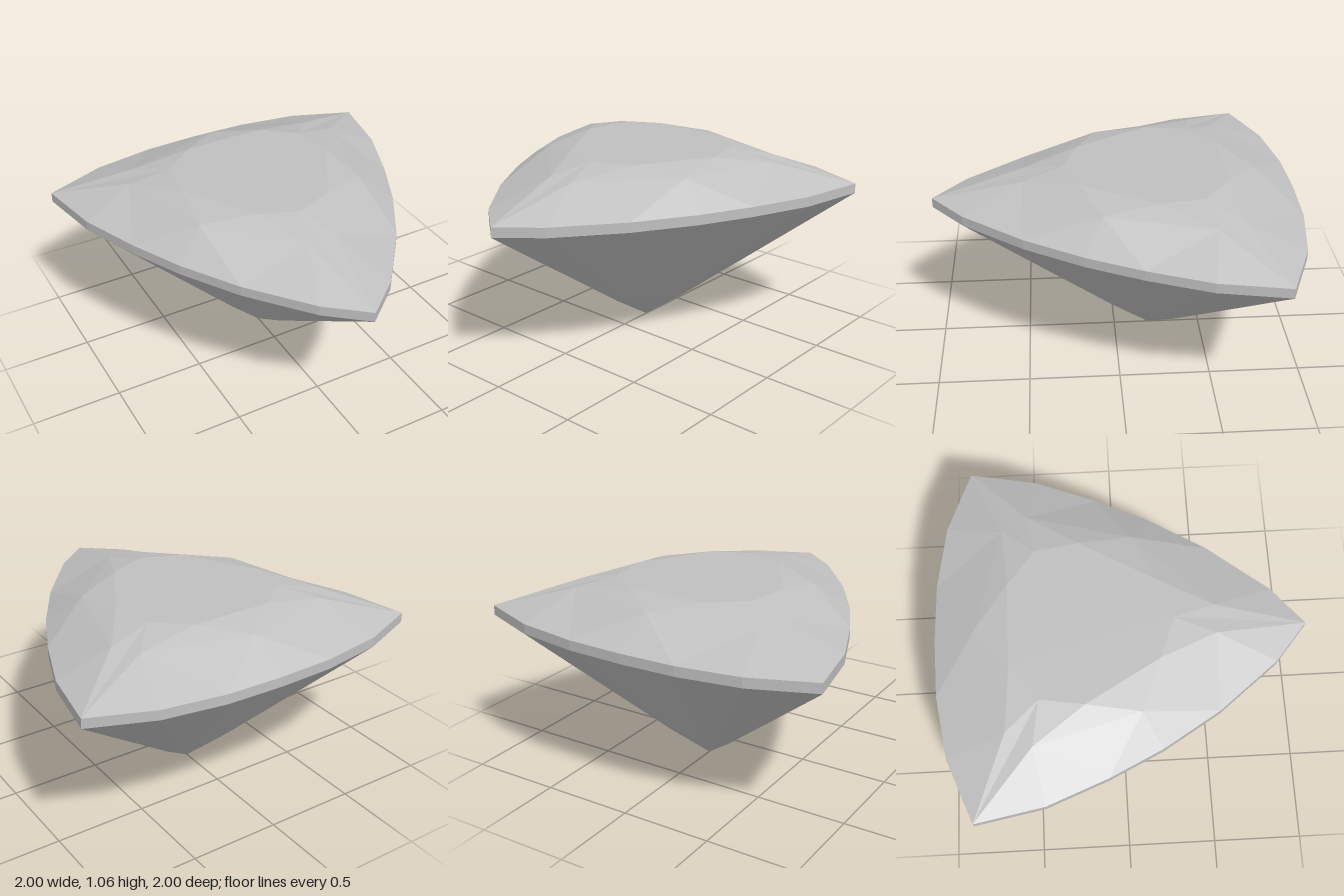
import * as THREE from 'three';

const CENTRE_Z = -0.2;
const GIRDLE_LOW = 0.83, GIRDLE_HIGH = 0.885, TABLE_Y = 1.062;

// Point at a radius and angle (degrees from the front, towards +x) about the gem axis
function polar(r, degrees, y) {
  const a = THREE.MathUtils.degToRad(degrees);
  return [r * Math.sin(a), y, CENTRE_Z + r * Math.cos(a)];
}

// Flat-faced mesh from counter-clockwise polygons
function facetMesh(name, polygons, material) {
  const positions = [];
  for (const p of polygons) {
    for (let i = 1; i < p.length - 1; i++) positions.push(...p[0], ...p[i], ...p[i + 1]);
  }
  const geometry = new THREE.BufferGeometry();
  geometry.setAttribute('position', new THREE.Float32BufferAttribute(positions, 3));
  geometry.computeVertexNormals();
  const mesh = new THREE.Mesh(geometry, material);
  mesh.name = name;
  return mesh;
}

export function createModel() {
  const gem = new THREE.Group();
  gem.name = 'trillionGem';
  const stone = new THREE.MeshStandardMaterial({ color: 0xc0c0c0 });
  stone.name = 'pale grey stone';

  // Rounded triangular outline (x, z): one half, then its mirror
  const half = [[0, 1], [0.21, 0.825], [0.47, 0.5], [0.66, 0.19], [0.8, -0.1],
    [0.93, -0.43], [1, -0.8], [0.66, -0.935], [0.315, -0.99], [0, -1]];
  const outline = [...half, ...half.slice(1, -1).reverse().map(([x, z]) => [-x, z])];
  const n = outline.length;
  const at = (i, y) => {
    const [x, z] = outline[i % n];
    return [x, y, z];
  };

  // Crown: the same facets repeated on three sides
  const crown = [], table = [];
  for (let s = 0; s < 3; s++) {
    const a = 120 * s, mid = a + 60;
    const G = (k) => at(6 * s + k, GIRDLE_HIGH);
    const C0 = polar(0.48, a, TABLE_Y), C1 = polar(0.48, a + 120, TABLE_Y);
    const T0 = polar(0.453, mid - 30.5, TABLE_Y), T1 = polar(0.453, mid + 30.5, TABLE_Y);
    const K = polar(0.705, a - 6.5, 1.012);
    const K0 = polar(0.705, a + 6.5, 1.012), K1 = polar(0.705, a + 113.5, 1.012);
    const M = polar(0.57, mid, 1.02);
    crown.push(
      [G(0), K0, C0, K],                                // corner kite
      [G(0), G(1), K0], [G(1), G(2), K0],               // lower facets
      [G(2), G(3), M], [G(3), G(4), M],
      [G(4), G(5), K1], [G(5), G(6), K1],
      [K0, G(2), M, T0], [M, G(4), K1, T1],             // side kites
      [C0, K0, T0], [T0, M, T1], [K1, C1, T1],          // star facets
    );
    table.push(C0, T0, T1);
  }
  gem.add(facetMesh('crown', crown, stone));
  gem.add(facetMesh('table', [table], stone));

  // Girdle band and pavilion facets down to the point
  const culet = [0, 0, CENTRE_Z];
  const low = (i) => {
    const [x, , z] = at(i, 0);
    return [x * 0.22, 0.17, CENTRE_Z + (z - CENTRE_Z) * 0.22];
  };
  const girdle = [], pavilion = [];
  for (let i = 0; i < n; i++) {
    const a = at(i, GIRDLE_LOW), b = at(i + 1, GIRDLE_LOW);
    girdle.push([a, b, at(i + 1, GIRDLE_HIGH), at(i, GIRDLE_HIGH)]);
    pavilion.push([a, low(i), low(i + 1), b], [low(i), culet, low(i + 1)]);
  }
  gem.add(facetMesh('girdle', girdle, stone));
  gem.add(facetMesh('pavilion', pavilion, stone));
  return gem;
}
